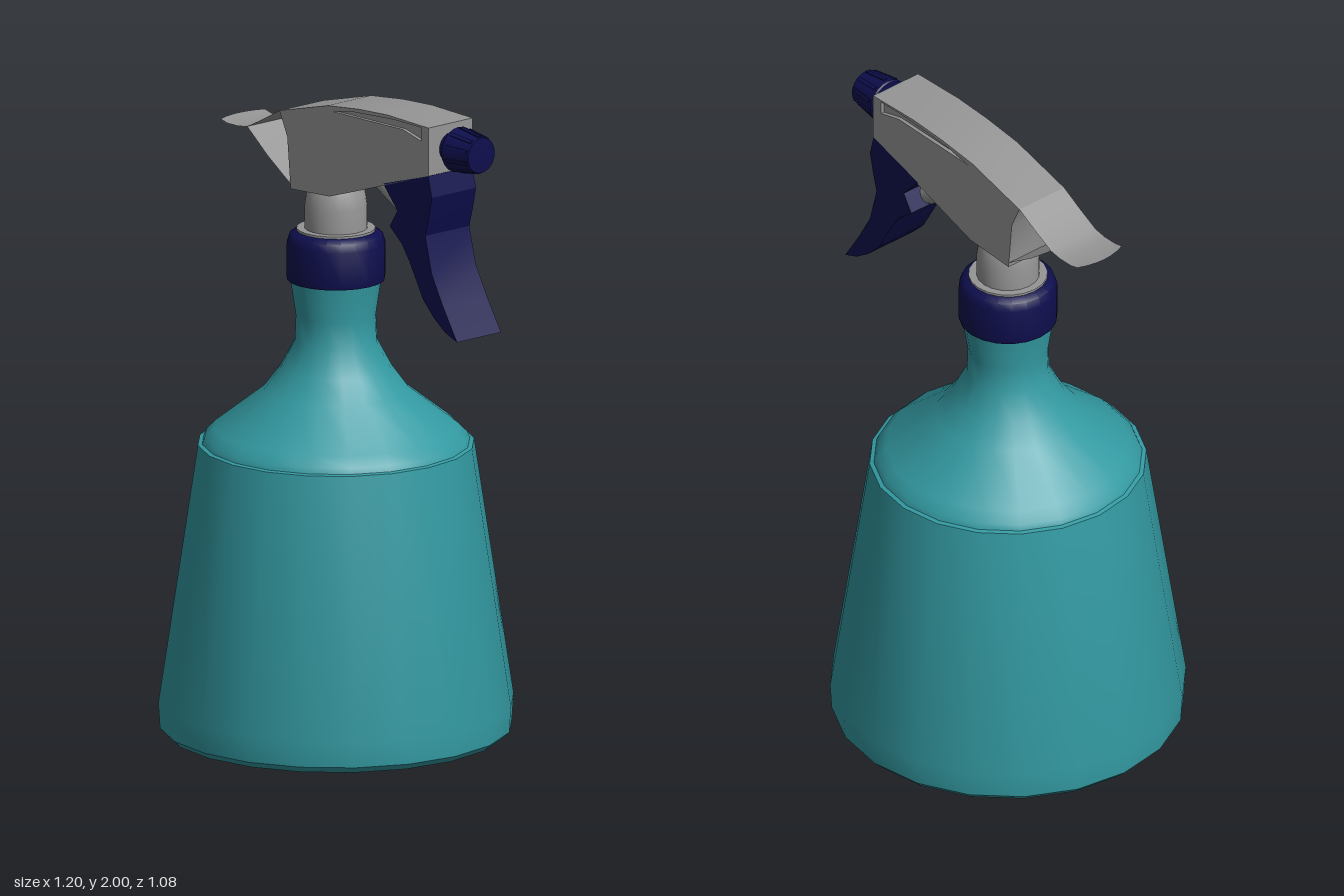
import * as THREE from 'three';
import { toCreasedNormals } from 'three/addons/utils/BufferGeometryUtils.js';

const AXIS = -0.06;   // x of the bottle axis
const HALF = 0.09;    // half width of the spray head

const mat = (name, color, side = THREE.FrontSide) => {
  const m = new THREE.MeshStandardMaterial({ color, side });
  m.name = name;
  return m;
};

const vec2 = (pts) => pts.map(([x, y]) => new THREE.Vector2(x, y));

export function createModel() {
  const teal = mat('teal plastic', 0x339aa2);
  const grey = mat('grey plastic', 0x969696);
  const greySheet = mat('grey sheet', 0x969696, THREE.DoubleSide);
  const navy = mat('navy plastic', 0x0e0e4e);

  const model = new THREE.Group();
  model.name = 'sprayBottle';

  const add = (name, geometry, material) => {
    const mesh = new THREE.Mesh(geometry, material);
    mesh.name = name;
    model.add(mesh);
    return mesh;
  };

  // Turned part around the bottle axis, profile listed from bottom to top
  const turned = (name, profile, material) => {
    const g = new THREE.LatheGeometry(vec2(profile), 20);
    add(name, toCreasedNormals(g.toNonIndexed(), 0.7), material).position.x = AXIS;
  };

  // Side outline extruded across the width of the head
  const slab = (name, outline, material, half, hole) => {
    const shape = new THREE.Shape(vec2(outline));
    if (hole) shape.holes.push(new THREE.Path(vec2(hole)));
    const g = new THREE.ExtrudeGeometry(shape, { depth: 2 * half, bevelEnabled: false });
    g.translate(0, 0, -half);
    return add(name, toCreasedNormals(g, 0.4), material);
  };

  // Bottle with a small ledge under the shoulder
  turned('bottle', [
    [0, 0], [0.515, 0], [0.535, 0.02], [0.54, 0.1], [0.42, 0.9], [0.407, 0.903],
    [0.4, 0.92], [0.37, 0.95], [0.22, 1.067], [0.17, 1.135], [0.125, 1.22],
    [0.122, 1.3], [0.14, 1.42],
  ], teal);

  // Screw cap
  turned('cap', [
    [0, 1.41], [0.148, 1.41], [0.15, 1.42], [0.15, 1.525], [0.142, 1.55],
    [0.122, 1.563], [0, 1.563],
  ], navy);

  // Collar ring and stem under the head
  turned('stem', [
    [0.12, 1.555], [0.12, 1.57], [0.096, 1.57], [0.096, 1.64], [0.09, 1.68],
    [0.078, 1.71], [0, 1.71],
  ], grey);

  // Spray head: full outline with a shallow groove let into each side
  const headOutline = [
    [-0.165, 1.685], [0.01, 1.695], [0.14, 1.738], [0.455, 1.845], [0.455, 1.995],
    [0.27, 2], [0.14, 1.993], [0, 1.977], [-0.215, 1.92], [-0.18, 1.845],
  ];
  const groove = [[0.02, 1.963], [0.12, 1.98], [0.3, 1.991], [0.42, 1.99], [0.42, 1.948], [0.34, 1.968]];
  slab('headSides', headOutline, grey, HALF, groove);
  slab('headCore', groove, grey, HALF - 0.012);

  // Thin sheet following a path in x and y; the end may be rounded
  const sheet = (name, path, round) => {
    const n = path.length - 1;
    const g = new THREE.PlaneGeometry(n, 2 * HALF, n, 6);
    const p = g.attributes.position;
    for (let i = 0; i < p.count; i++) {
      const k = Math.round(p.getX(i) + n / 2);
      const z = -p.getY(i);
      const bend = k === n ? round * (z / HALF) ** 2 : 0;
      p.setXYZ(i, path[k][0] + bend, path[k][1], z);
    }
    g.computeVertexNormals();
    add(name, g, greySheet);
  };

  // Rear thumb rest and its brace
  sheet('thumbRest', [
    [-0.215, 1.92], [-0.29, 1.878], [-0.36, 1.842], [-0.4, 1.835], [-0.45, 1.835], [-0.5, 1.842],
  ], 0.02);
  sheet('thumbRestBrace', [[-0.36, 1.842], [-0.27, 1.77], [-0.165, 1.7]], 0);

  // Trigger
  slab('trigger', [
    [0.25, 1.782], [0.315, 1.71], [0.28, 1.655], [0.335, 1.61], [0.37, 1.56],
    [0.43, 1.455], [0.48, 1.405], [0.53, 1.37], [0.583, 1.35], [0.52, 1.45],
    [0.47, 1.54], [0.44, 1.655], [0.455, 1.71], [0.47, 1.78], [0.453, 1.844],
  ], navy, HALF);

  // Piston rod between head and trigger
  const from = new THREE.Vector3(0.12, 1.785, 0);
  const to = new THREE.Vector3(0.33, 1.665, 0);
  const dir = to.clone().sub(from);
  const rod = add('pistonRod', new THREE.CylinderGeometry(0.036, 0.036, dir.length(), 16), grey);
  rod.position.copy(from).add(to).multiplyScalar(0.5);
  rod.quaternion.setFromUnitVectors(new THREE.Vector3(0, 1, 0), dir.normalize());

  // Nozzle: short neck and tapered knob with grip ribs
  const nozzle = new THREE.Group();
  nozzle.name = 'nozzle';
  nozzle.position.set(0.455, 1.92, 0);
  nozzle.rotation.z = -Math.PI / 2;
  const knob = new THREE.LatheGeometry(vec2([
    [0, -0.005], [0.046, -0.005], [0.046, 0.03], [0.066, 0.03], [0.07, 0.036], [0.055, 0.138], [0, 0.14],
  ]), 20);
  const knobMesh = new THREE.Mesh(toCreasedNormals(knob.toNonIndexed(), 0.5), navy);
  knobMesh.name = 'nozzleKnob';
  nozzle.add(knobMesh);
  for (let i = 0; i < 10; i++) {
    const spoke = new THREE.Group();
    spoke.rotation.y = (i / 10) * Math.PI * 2;
    const rib = new THREE.Mesh(new THREE.BoxGeometry(0.01, 0.085, 0.012), navy);
    rib.name = 'nozzleRib';
    rib.position.set(0.06, 0.088, 0);
    rib.rotation.z = 0.146;
    spoke.add(rib);
    nozzle.add(spoke);
  }
  model.add(nozzle);

  return model;
}
